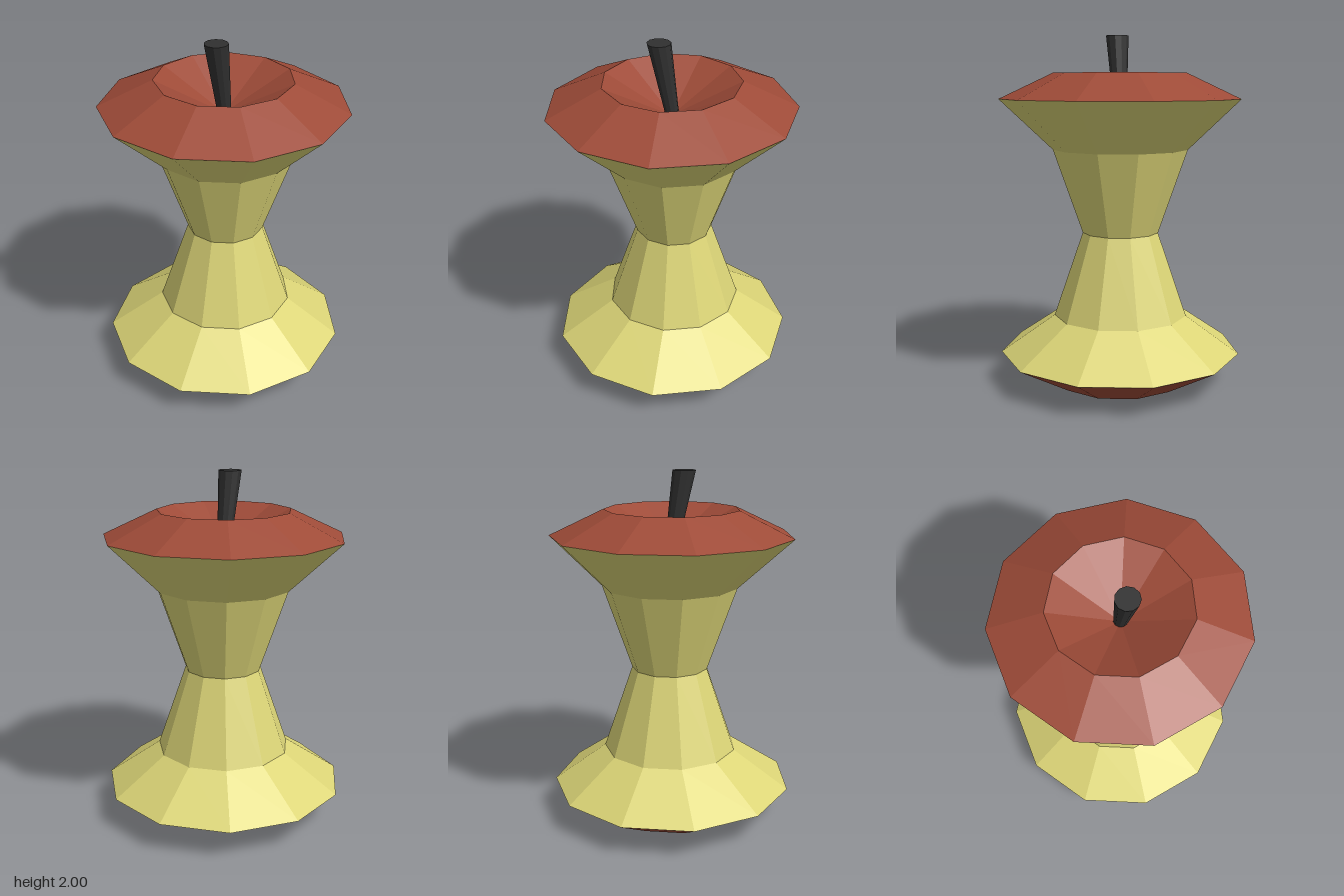
import * as THREE from 'three';

const SIDES = 11;

const mat = (name, color) => {
  const m = new THREE.MeshStandardMaterial({ color, flatShading: true });
  m.name = name;
  return m;
};

// Faceted ring stack; each ring is [radius, y, x offset], listed bottom to top along the outside
function rings(name, list, material) {
  const points = list.map(([r, y]) => new THREE.Vector2(r, y));
  const geo = new THREE.LatheGeometry(points, SIDES, Math.PI / 2);
  const pos = geo.attributes.position;
  for (let i = 0; i < pos.count; i++) {
    pos.setX(i, pos.getX(i) + list[i % list.length][2]);
  }
  geo.computeVertexNormals();
  const mesh = new THREE.Mesh(geo, material);
  mesh.name = name;
  return mesh;
}

export function createModel() {
  const group = new THREE.Group();
  group.name = 'appleCore';

  const skin = mat('red skin', 0x9e4b38);
  const flesh = mat('yellow flesh', 0xdcd577);
  const wood = mat('dark stem', 0x303030);

  const ox = -0.014;
  const bottomRim = [0.696, 0.18, ox];
  const topRim = [0.685, 1.645, ox];

  // Skin left at the base
  group.add(rings('bottomSkin', [[0, 0.005, ox], [0.378, 0, ox], bottomRim], skin));

  // Eaten middle, flared at both ends
  group.add(rings('flesh', [
    bottomRim,
    [0.386, 0.395, -0.004],
    [0.219, 0.88, -0.003],
    [0.386, 1.36, -0.004],
    topRim,
  ], flesh));

  // Skin left on top, dipping to a funnel around the stem
  group.add(rings('topSkin', [topRim, [0.379, 1.79, ox], [0, 1.59, ox]], skin));

  // Leaning, tapered stem: shear the cylinder so its top stays level
  const y0 = 1.58, h = 0.42;
  const stemGeo = new THREE.CylinderGeometry(0.065, 0.037, h, SIDES);
  stemGeo.translate(0, y0 + h / 2, 0);
  const p = stemGeo.attributes.position;
  for (let i = 0; i < p.count; i++) {
    p.setX(i, p.getX(i) - 0.01 - 0.07 * (p.getY(i) - y0) / h);
  }
  stemGeo.computeVertexNormals();
  const stem = new THREE.Mesh(stemGeo, wood);
  stem.name = 'stem';
  group.add(stem);

  return group;
}
